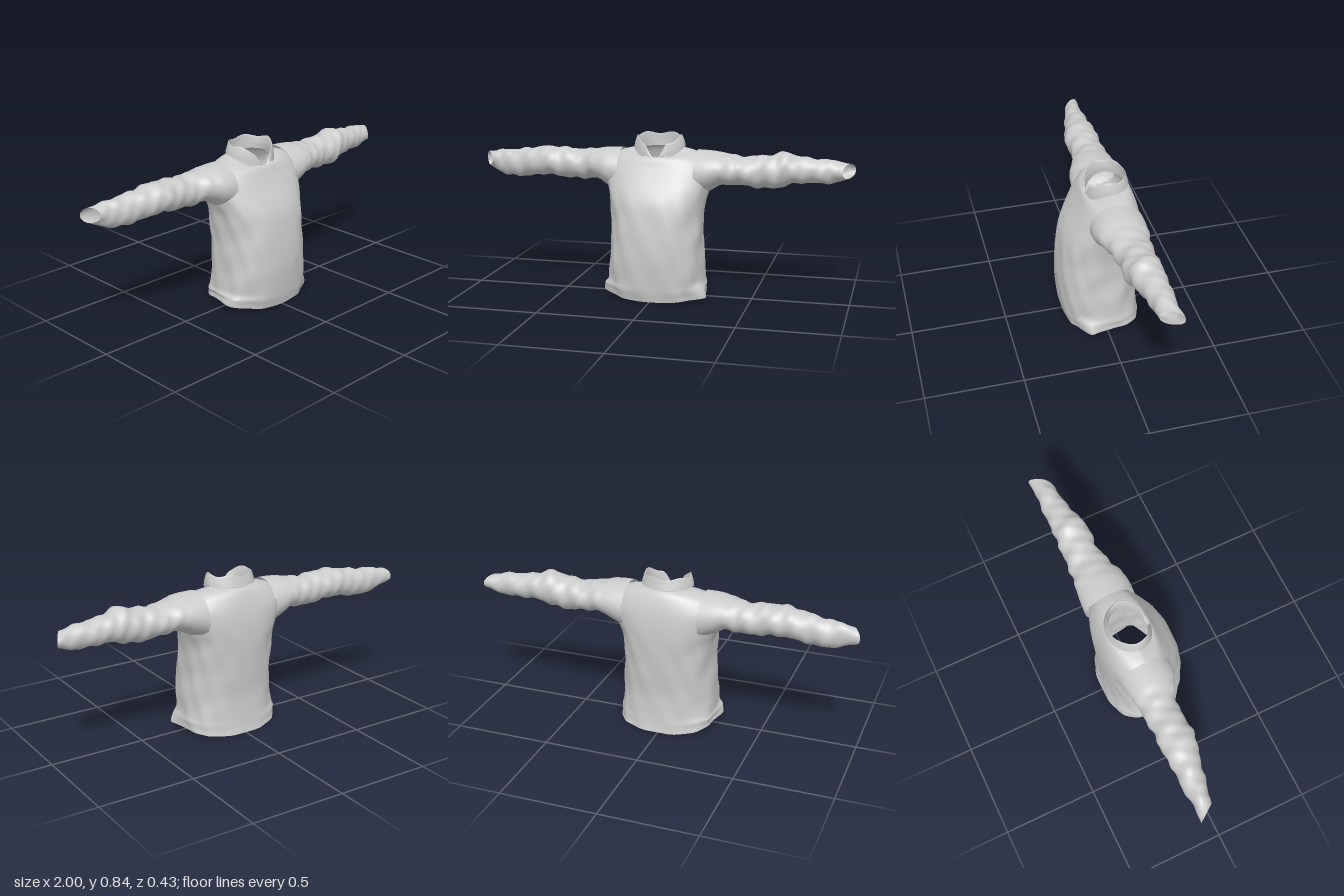
import * as THREE from 'three';

const material = new THREE.MeshStandardMaterial({ color: 0xcccccc, side: THREE.DoubleSide });
const smooth = THREE.MathUtils.smoothstep;
const bump = (x, width) => Math.exp(-((x / width) ** 2));
const sgnPow = (v, p) => Math.sign(v) * Math.abs(v) ** p;

// Smooth interpolation through a table of cross-sections, t from 0 to 1
function sample(rows, t) {
  const f = t * (rows.length - 1);
  const i = Math.min(Math.floor(f), rows.length - 2);
  const k = f - i;
  const a = rows[Math.max(i - 1, 0)], b = rows[i], c = rows[i + 1];
  const d = rows[Math.min(i + 2, rows.length - 1)];
  return b.map((p, n) => {
    const m0 = (c[n] - a[n]) / 2, m1 = (d[n] - p) / 2;
    const e = p - c[n];
    return p + k * (m0 + k * (-3 * e - 2 * m0 - m1 + k * (2 * e + m0 + m1)));
  });
}

// Closed rings of points joined into an open tube; keep() may cut faces away
function loft(name, around, along, point, keep = () => true) {
  const pts = [], index = [];
  for (let v = 0; v <= along; v++) {
    for (let u = 0; u < around; u++) pts.push(point((u / around) * Math.PI * 2, v / along));
  }
  for (let v = 0; v < along; v++) {
    for (let u = 0; u < around; u++) {
      const n = (u + 1) % around;
      const a = v * around + u, b = v * around + n;
      const c = a + around, d = b + around;
      const mid = pts[a].clone().add(pts[d]).multiplyScalar(0.5);
      if (keep(mid)) index.push(a, c, b, b, c, d);
    }
  }
  const geometry = new THREE.BufferGeometry().setFromPoints(pts);
  geometry.setIndex(index);
  geometry.computeVertexNormals();
  const mesh = new THREE.Mesh(geometry, material);
  mesh.name = name;
  return mesh;
}

// Torso sections: height, half width, front z, back z, front dip
const torsoRows = [
  [0.005, 0.258, 0.19, -0.21, 0],
  [0.07, 0.252, 0.203, -0.2, 0],
  [0.2, 0.245, 0.215, -0.192, 0],
  [0.32, 0.237, 0.213, -0.2, 0],
  [0.42, 0.237, 0.202, -0.206, 0],
  [0.5, 0.245, 0.187, -0.21, 0],
  [0.56, 0.262, 0.162, -0.21, 0],
  [0.62, 0.278, 0.128, -0.205, 0],
  [0.68, 0.28, 0.096, -0.194, 0],
  [0.73, 0.25, 0.078, -0.178, 0.01],
  [0.76, 0.19, 0.066, -0.163, 0.025],
  [0.776, 0.112, 0.052, -0.147, 0.04],
];

function torsoPoint(a, t) {
  const [y, w, zf, zb, dip] = sample(torsoRows, t);
  const cos = Math.cos(a), sin = Math.sin(a);
  const round = THREE.MathUtils.lerp(0.8, 1, smooth(y, 0.65, 0.77));
  // Soft diagonal drapes, strongest at the waist
  const loose = 1 - smooth(y, 0.45, 0.68);
  const side = Math.abs(cos);
  let swell = loose * (0.012 * Math.sin(7 * a + 16 * y) * side
    + 0.008 * Math.sin(13 * a - 22 * y) + 0.006 * Math.sin(38 * y + 3 * a) * side);
  // Pinched cloth flaring at the two front corners of the hem
  const low = 1 - smooth(y, 0.01, 0.11);
  swell += low * (0.15 * bump(a - 0.45, 0.2) + 0.1 * bump(a - Math.PI + 0.4, 0.25));
  swell += 0.035 * bump(y - 0.06, 0.02) * side * (cos < 0 ? 1 : 0.5);
  const k = 1 + swell;
  const mid = (zf + zb) / 2, half = (zf - zb) / 2;
  const hem = low * cos * cos * (cos < 0 ? 0.035 : 0.018);
  return new THREE.Vector3(
    w * sgnPow(cos, round) * k,
    y + hem - dip * Math.max(0, sin),
    mid + half * sgnPow(sin, round) * (1 + Math.min(swell, 0.02)),
  );
}

// Opening in the torso hidden under the sleeve root
const outsideArmhole = (p) =>
  Math.abs(p.x) < 0.2 || Math.hypot((p.y - 0.665) / 0.08, (p.z + 0.06) / 0.095) > 1;

// Sleeve sections: distance from centre, bottom y, top y, front z, back z
const leftSleeve = [
  [0.2, 0.53, 0.768, 0.085, -0.19],
  [0.27, 0.56, 0.765, 0.085, -0.186],
  [0.33, 0.59, 0.757, 0.07, -0.178],
  [0.42, 0.592, 0.74, 0.04, -0.166],
  [0.52, 0.58, 0.745, 0.018, -0.158],
  [0.6, 0.582, 0.757, 0.026, -0.156],
  [0.65, 0.595, 0.77, 0.016, -0.154],
  [0.71, 0.61, 0.75, 0, -0.15],
  [0.8, 0.613, 0.738, -0.022, -0.15],
  [0.89, 0.615, 0.732, -0.034, -0.143],
  [0.97, 0.64, 0.715, -0.04, -0.146],
];
const rightSleeve = [
  [0.2, 0.53, 0.768, 0.08, -0.19],
  [0.27, 0.565, 0.765, 0.075, -0.184],
  [0.33, 0.597, 0.758, 0.05, -0.172],
  [0.42, 0.59, 0.746, 0.015, -0.163],
  [0.52, 0.595, 0.752, 0.016, -0.157],
  [0.62, 0.605, 0.755, 0.018, -0.16],
  [0.72, 0.592, 0.742, -0.01, -0.15],
  [0.82, 0.585, 0.728, -0.03, -0.15],
  [0.9, 0.6, 0.722, -0.048, -0.14],
  [0.97, 0.635, 0.71, -0.062, -0.146],
];

function sleeve(name, rows, sign) {
  return loft(name, 40, 70, (a, t) => {
    const [x, y0, y1, zf, zb] = sample(rows, t);
    const up = Math.cos(a), out = -sign * Math.sin(a);
    // Creases winding round the arm
    const crease = smooth(x, 0.28, 0.4)
      * (0.04 * Math.sin(52 * x + 2 * a) + 0.03 * Math.sin(85 * x - 3 * a));
    const k = 1 + crease;
    // The cuff opening is cut at a slant, longest at the back
    const slant = -0.03 * out * smooth(x, 0.8, 0.97);
    return new THREE.Vector3(
      sign * (x + slant),
      (y0 + y1) / 2 + ((y1 - y0) / 2) * up * k,
      (zf + zb) / 2 + ((zf - zb) / 2) * out * k,
    );
  });
}

// Collar: rises from the neckline, folds over, and ends in two front points
function collarPoint(a, t) {
  const cos = Math.cos(a), sin = Math.sin(a), front = Math.max(0, sin);
  const notch = front > 0 ? 1 - smooth(Math.abs(cos), 0.05, 0.55) : 0;
  const top = 0.84 - 0.045 * front ** 2 - 0.062 * notch
    + 0.006 * Math.sin(5 * a + 1) * (1 - notch);
  const tips = front * bump(Math.abs(cos) - 0.6, 0.25);
  const base = 0.77 - 0.04 * front;
  const flap = Math.min(top - 0.004, 0.785 - 0.035 * front - 0.022 * tips);
  const [w, zf, zb, y] = sample([
    [0.108, 0.05, -0.145, base],
    [0.106, 0.053, -0.146, (base + top) / 2],
    [0.115, 0.06, -0.146, top],
    [0.128, 0.066, -0.154, (top + flap) / 2],
    [0.134, 0.068, -0.162, flap],
  ], t);
  return new THREE.Vector3(w * cos, y, (zf + zb) / 2 + ((zf - zb) / 2) * sin);
}

export function createModel() {
  const shirt = new THREE.Group();
  shirt.name = 'shirt';
  shirt.add(
    loft('torso', 120, 100, torsoPoint, outsideArmhole),
    sleeve('leftSleeve', leftSleeve, 1),
    sleeve('rightSleeve', rightSleeve, -1),
    loft('collar', 72, 24, collarPoint),
  );
  return shirt;
}
